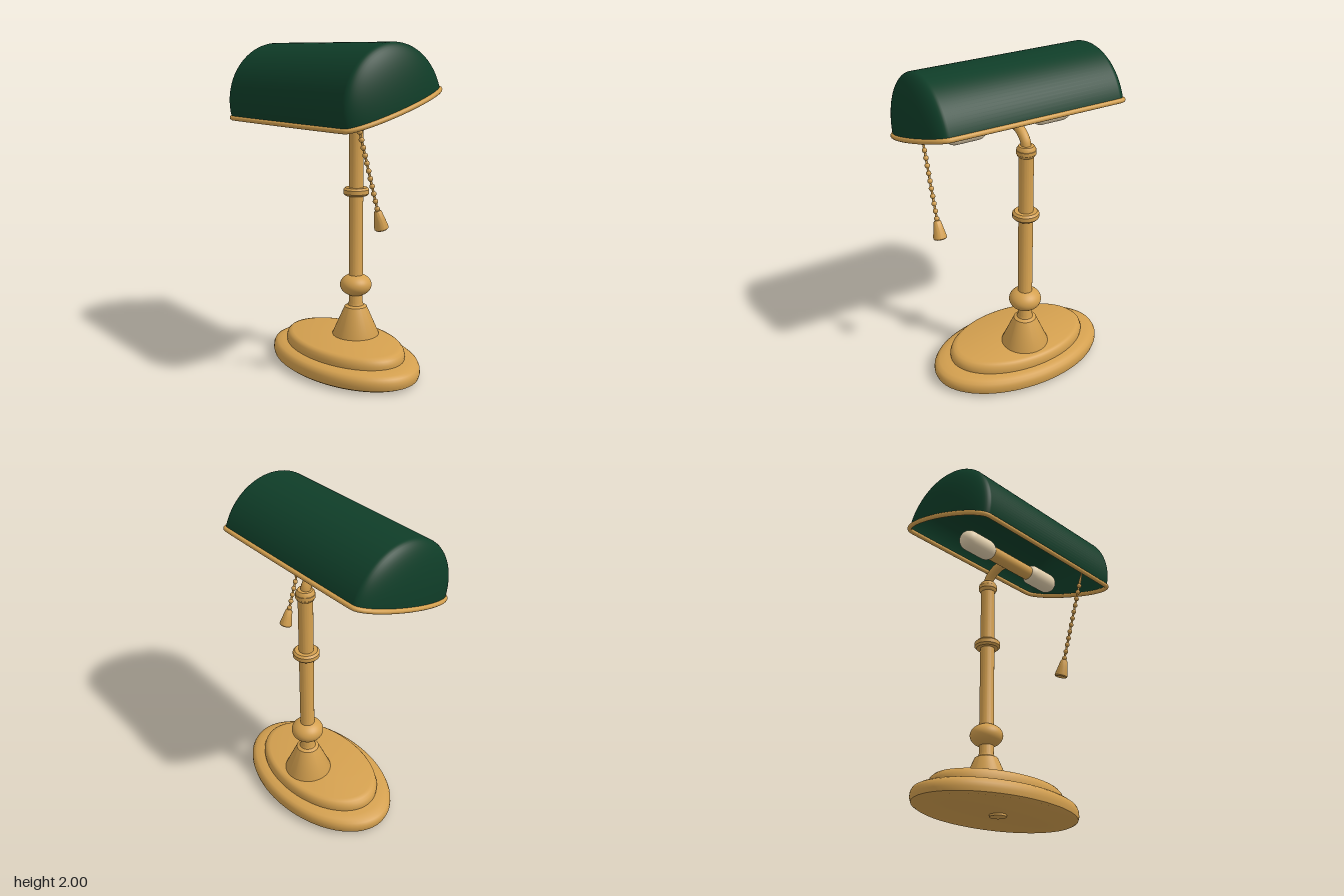
import * as THREE from 'three';
import { toCreasedNormals } from 'three/addons/utils/BufferGeometryUtils.js';

const material = (name, color, side = THREE.FrontSide) => {
  const m = new THREE.MeshStandardMaterial({ color, side });
  m.name = name;
  return m;
};

export function createModel() {
  const brass = material('brass', 0xd4a04f);
  const green = material('green glass', 0x0f3d28, THREE.DoubleSide);
  const cream = material('bulb glass', 0xe6d3b0);

  const lamp = new THREE.Group();
  lamp.name = 'deskLamp';

  const add = (parent, name, geometry, mat, x = 0, y = 0, z = 0) => {
    const mesh = new THREE.Mesh(geometry, mat);
    mesh.name = name;
    mesh.position.set(x, y, z);
    parent.add(mesh);
    return mesh;
  };
  const turned = (points, segments = 48) => toCreasedNormals(
    new THREE.LatheGeometry(points.map(([r, y]) => new THREE.Vector2(r, y)), segments), 0.7);

  // Oval stepped base with a small stud underneath
  const base = add(lamp, 'base', turned([
    [0, 0.012], [0.55, 0.012], [0.57, 0.022], [0.578, 0.045], [0.576, 0.07], [0.565, 0.09],
    [0.54, 0.103], [0.5, 0.11], [0.465, 0.114], [0.467, 0.135], [0.457, 0.16],
    [0.44, 0.174], [0.415, 0.18], [0, 0.18],
  ], 80), brass, 0, 0, -0.05);
  base.scale.z = 0.625;
  add(lamp, 'baseStud', new THREE.CylinderGeometry(0.05, 0.05, 0.02, 32), brass, 0, 0.01, -0.05);

  // Turned stem: cone foot, neck, column and collar
  const stemZ = -0.146;
  add(lamp, 'stem', turned([
    [0, 0.17], [0.147, 0.17], [0.147, 0.185], [0.075, 0.35], [0.07, 0.362], [0.05, 0.372],
    [0.044, 0.39], [0.044, 1.475], [0.052, 1.482], [0.056, 1.5], [0.056, 1.525],
    [0.045, 1.542], [0, 1.542],
  ]), brass, 0, 0, stemZ);
  const knob = add(lamp, 'stemKnob', new THREE.SphereGeometry(0.1, 40, 24), brass, 0, 0.503, stemZ);
  knob.scale.y = 0.72;
  const ring = (name, y, radius, half) => add(lamp, name, turned([
    [0.04, -half], [radius - 0.012, -half], [radius, -half * 0.5],
    [radius, half * 0.5], [radius - 0.012, half], [0.04, half],
  ]), brass, 0, y, stemZ);
  ring('stemRing', 1.1, 0.08, 0.025);
  ring('topRing', 1.505, 0.058, 0.022);

  // Curved neck carrying the bulb holder
  const neckPath = new THREE.CatmullRomCurve3([
    [1.52, stemZ], [1.565, -0.135], [1.605, -0.095], [1.627, -0.04], [1.622, 0.045],
  ].map(([y, z]) => new THREE.Vector3(0, y, z)));
  add(lamp, 'neck', new THREE.TubeGeometry(neckPath, 28, 0.03, 16), brass);
  const holder = add(lamp, 'bulbHolder', new THREE.CylinderGeometry(0.045, 0.045, 0.36, 32),
    brass, 0, 1.62, 0.045);
  holder.rotation.z = Math.PI / 2;
  for (const side of [-1, 1]) {
    const bulb = add(lamp, side > 0 ? 'leftBulb' : 'rightBulb',
      new THREE.CapsuleGeometry(0.063, 0.14, 12, 32), cream, side * 0.285, 1.62, 0.045);
    bulb.rotation.z = Math.PI / 2;
  }

  // Tilted head: shade, rim and pull chain
  const head = new THREE.Group();
  head.name = 'head';
  head.position.set(0, 1.645, 0.055);
  head.rotation.x = 0.29;
  lamp.add(head);

  // Half outline of the shade: straight middle with elliptical ends
  const radius = 0.355, straight = 0.54, bulge = 0.108, steps = 18;
  const outline = [];
  for (let i = 0; i <= steps; i++) {
    const a = (i / steps) * Math.PI / 2;
    outline.push(new THREE.Vector2(radius * Math.sin(a), -straight - bulge * Math.cos(a)));
  }
  for (let i = steps; i >= 0; i--) outline.push(new THREE.Vector2(outline[i].x, -outline[i].y));

  const shade = new THREE.LatheGeometry(outline, 56, -Math.PI / 2, Math.PI);
  shade.applyMatrix4(new THREE.Matrix4().makeBasis(
    new THREE.Vector3(0, 0, 1), new THREE.Vector3(1, 0, 0), new THREE.Vector3(0, 1, 0)));
  add(head, 'shade', shade, green);

  // Brass rim follows the outline all the way round
  const rimPoints = outline.map((p) => new THREE.Vector3(p.y, 0, p.x));
  for (let i = outline.length - 2; i > 0; i--) {
    rimPoints.push(new THREE.Vector3(outline[i].y, 0, -outline[i].x));
  }
  const rimPath = new THREE.CatmullRomCurve3(rimPoints, true, 'centripetal');
  add(head, 'rim', new THREE.TubeGeometry(rimPath, 240, 0.014, 12, true), brass);

  // Pull chain with beads and a bell-shaped weight
  const chain = new THREE.Group();
  chain.name = 'pullChain';
  chain.position.set(0.465, 0, 0.197);
  head.add(chain);
  add(chain, 'cord', new THREE.CylinderGeometry(0.007, 0.007, 0.55, 10), brass, 0, -0.275, 0);
  add(chain, 'cordTip', new THREE.CylinderGeometry(0.002, 0.009, 0.12, 10), brass, 0, 0.06, 0);
  for (let i = 0; i < 12; i++) {
    add(chain, 'bead', new THREE.SphereGeometry(0.0155, 16, 12), brass, 0, -0.02 - i * 0.0455, 0);
  }
  add(chain, 'pullWeight', turned([
    [0, -0.646], [0.036, -0.646], [0.041, -0.64], [0.04, -0.628], [0.031, -0.585],
    [0.022, -0.54], [0.016, -0.532], [0, -0.53],
  ], 32), brass);

  return lamp;
}
